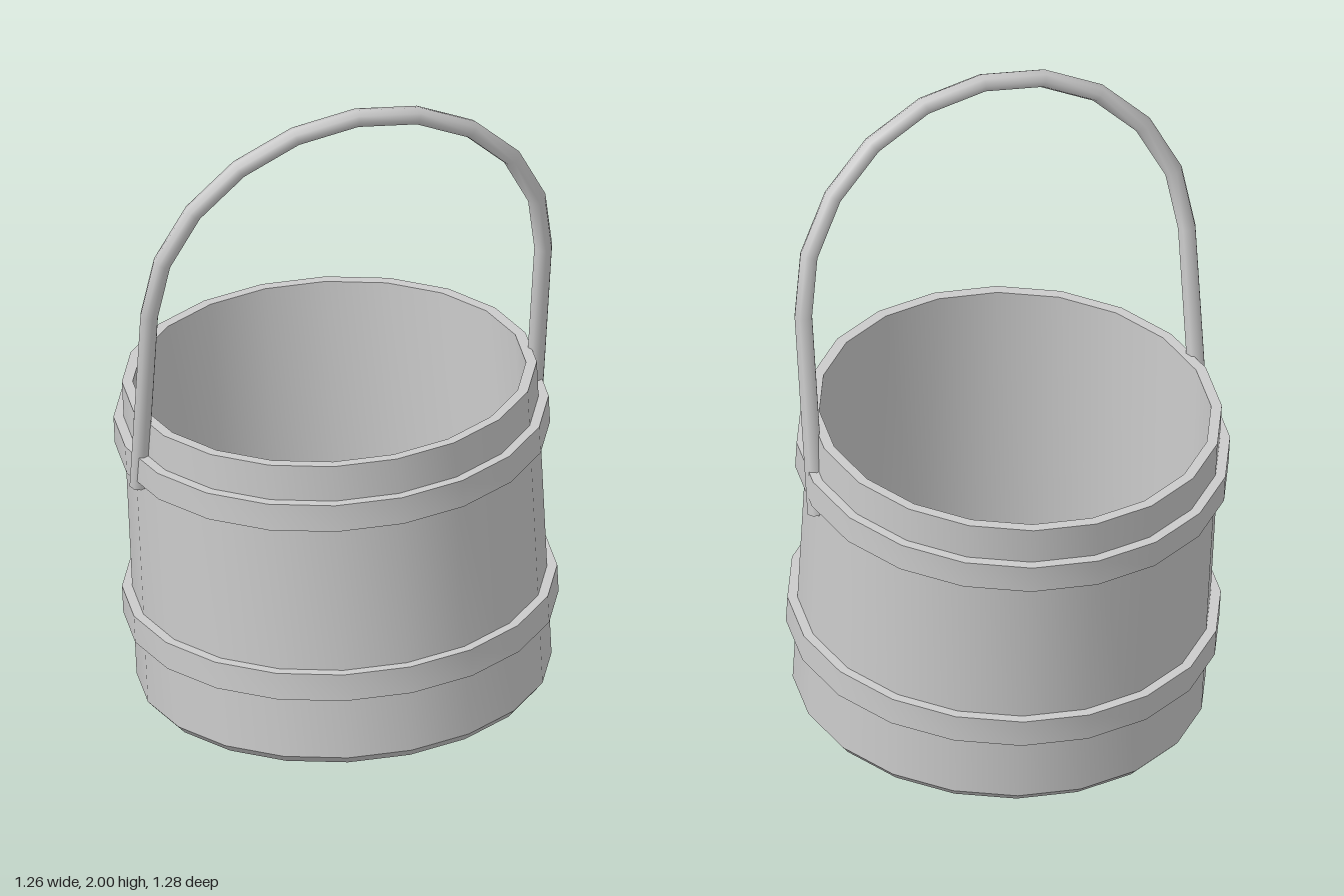
import * as THREE from 'three';
import { toCreasedNormals } from 'three/addons/utils/BufferGeometryUtils.js';

const material = new THREE.MeshStandardMaterial({ color: 0xcccccc });

function part(name, geometry) {
  const mesh = new THREE.Mesh(geometry, material);
  mesh.name = name;
  return mesh;
}

// 20-sided ring turned from a closed, counter-clockwise [radius, height] profile
function ring(name, profile) {
  const points = [...profile, profile[0]].map(([r, y]) => new THREE.Vector2(r, y));
  return part(name, toCreasedNormals(new THREE.LatheGeometry(points, 20), 0.5));
}

function hoop(name, y) {
  const h = 0.042;
  return ring(name, [[0.585, y - h], [0.623, y - h], [0.623, y + h], [0.585, y + h]]);
}

// Handle path: straight leg, half circle in ten steps, straight leg
class HandleCurve extends THREE.Curve {
  constructor(radius, leg) {
    super();
    this.radius = radius;
    this.leg = leg;
  }
  getPoint(t, target = new THREE.Vector3()) {
    const { radius, leg } = this;
    const s = t * 12;
    if (s <= 1) return target.set(-radius, leg * s, 0);
    if (s >= 11) return target.set(radius, leg * (12 - s), 0);
    const a = Math.PI * (s - 1) / 10;
    return target.set(-radius * Math.cos(a), leg + radius * Math.sin(a), 0);
  }
  getUtoTmapping(u) {
    return u;
  }
}

export function createModel() {
  const model = new THREE.Group();
  model.name = 'bucket';

  // Open-ended tub, leaning slightly, with a chamfered foot
  const tub = new THREE.Group();
  tub.name = 'tub';
  tub.position.set(0.013, 0.041, 0.038);
  tub.rotation.set(-0.065, 0, 0.025);
  tub.add(
    ring('wall', [[0.563, 0], [0.573, 0], [0.594, 0.025], [0.594, 0.963], [0.563, 0.963]]),
    hoop('upperHoop', 0.81),
    hoop('lowerHoop', 0.265)
  );
  model.add(tub);

  // Bail handle leaning forward from its two ends
  const radius = 0.596, thickness = 0.027;
  const handle = new THREE.Group();
  handle.name = 'handle';
  handle.position.set(-0.01, 0.769, 0.026);
  handle.rotation.x = 0.152;
  handle.add(part('bail', new THREE.TubeGeometry(new HandleCurve(radius, 0.622), 12, thickness, 8)));
  for (const side of [-1, 1]) {
    const cap = part(side > 0 ? 'leftEnd' : 'rightEnd', new THREE.CircleGeometry(thickness, 8));
    cap.rotation.x = Math.PI / 2;
    cap.position.x = side * radius;
    handle.add(cap);
  }
  model.add(handle);

  return model;
}
